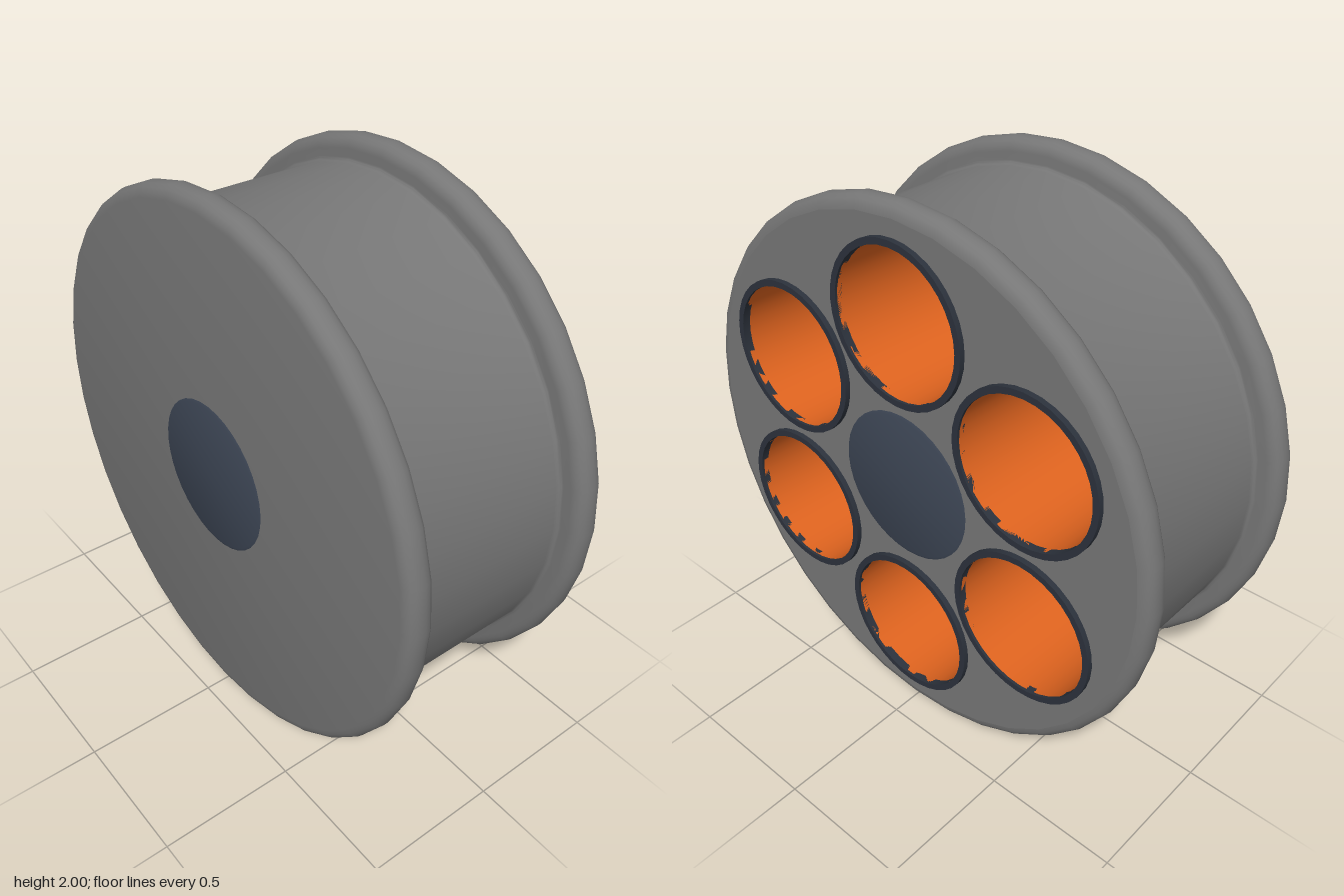
import * as THREE from 'three';
import { toCreasedNormals } from 'three/addons/utils/BufferGeometryUtils.js';

const SEGMENTS = 36;
const BACK = -0.40, FRONT = 0.42;

const paint = (color, side = THREE.FrontSide) => new THREE.MeshStandardMaterial({ color, side });

// Turn a profile of [radius, z] points around the z axis
function turned(name, profile, material) {
  const points = profile.map(([r, z]) => new THREE.Vector2(r, z));
  const geometry = new THREE.LatheGeometry(points, SEGMENTS).rotateX(Math.PI / 2);
  const mesh = new THREE.Mesh(toCreasedNormals(geometry, 0.55), material);
  mesh.name = name;
  return mesh;
}

// Quarter-round profile points, angles in quarter turns
function arc(r, z, radius, from, to) {
  return Array.from({ length: 5 }, (_, i) => {
    const a = (from + (to - from) * i / 4) * Math.PI / 2;
    return [r + radius * Math.cos(a), z + radius * Math.sin(a)];
  });
}

export function createModel() {
  const model = new THREE.Group();
  model.name = 'flangedWheel';
  const wheel = new THREE.Group();
  wheel.name = 'wheel';
  wheel.position.y = 1;
  model.add(wheel);

  const bodyPaint = paint(0x777777);
  const hubPaint = paint(0x3d4655);
  const rimPaint = paint(0x2c323c);
  const cupPaint = paint(0xe0641f, THREE.DoubleSide);

  // Barrel with a rounded flange at each end and a solid front
  const e = 0.045, f = 0.015;
  wheel.add(turned('body', [
    ...arc(1 - e, BACK + e, e, -1, 0),
    ...arc(1 - e, -0.295 - e, e, 0, 1),
    ...arc(0.91 + f, -0.295 + f, f, 3, 2),
    ...arc(0.91 + f, 0.315 - f, f, 2, 1),
    ...arc(1 - e, 0.315 + e, e, -1, 0),
    ...arc(1 - e, FRONT - e, e, 0, 1),
    [0, FRONT],
  ], bodyPaint));

  // Back plate pierced by the ring of cups
  const circle = (Type, x, y, r) => new Type(Array.from({ length: SEGMENTS }, (_, i) => {
    const a = i * 2 * Math.PI / SEGMENTS;
    return new THREE.Vector2(x + r * Math.cos(a), y + r * Math.sin(a));
  }));
  const plate = circle(THREE.Shape, 0, 0, 1 - e);
  const centres = Array.from({ length: 6 }, (_, i) => {
    const a = Math.PI / 2 + i * Math.PI / 3;
    return [0.61 * Math.cos(a), 0.61 * Math.sin(a)];
  });
  for (const [x, y] of centres) plate.holes.push(circle(THREE.Path, x, y, 0.27));
  const backPlate = new THREE.Mesh(new THREE.ShapeGeometry(plate).rotateY(Math.PI), bodyPaint);
  backPlate.name = 'backPlate';
  backPlate.position.z = BACK;
  wheel.add(backPlate);

  // Hub running through, with softened edges
  wheel.add(turned('hub', [
    [0, BACK - 0.004], [0.27, BACK - 0.004], [0.28, BACK],
    [0.28, FRONT], [0.27, FRONT + 0.004], [0, FRONT + 0.004],
  ], hubPaint));

  // Deep cups, each with a raised rim
  centres.forEach(([x, y], i) => {
    const cup = new THREE.Group();
    cup.name = `cup${i + 1}`;
    cup.position.set(x, y, 0);
    cup.add(turned('cupLining', [[0.262, -0.41], [0.262, 0.32], [0, 0.32]], cupPaint));
    cup.add(turned('cupRim', [
      [0.262, -0.39], [0.262, -0.42], [0.285, -0.42], [0.285, -0.39],
    ], rimPaint));
    wheel.add(cup);
  });

  return model;
}
